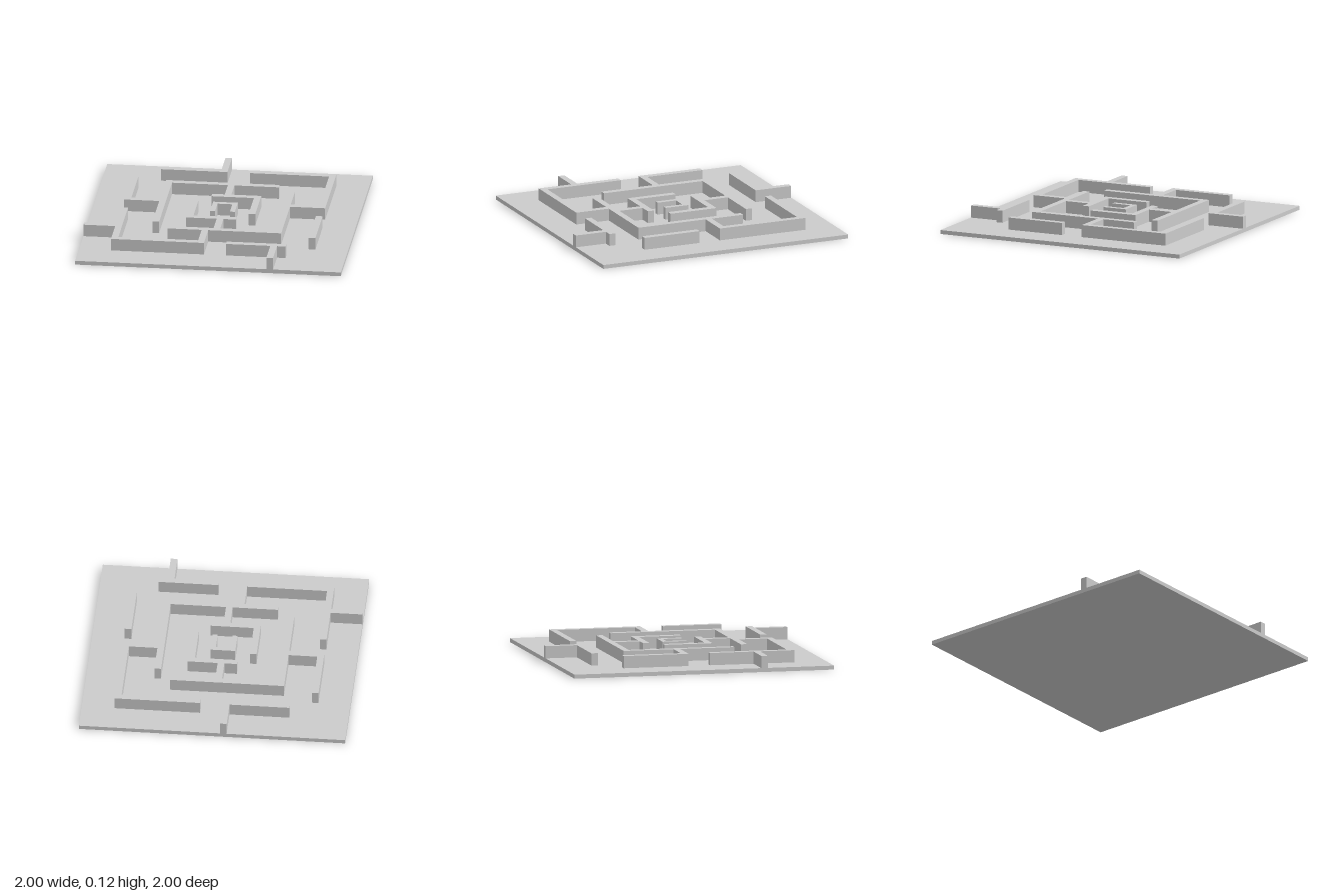
import * as THREE from 'three';

const BASE = 0.03, TOP = 0.122;

// Each wall run is a list of abutting rectangles: [x0, z0, x1, z1]
const WALLS = {
  backTeeWall: [
    [-0.56, -0.76, -0.06, -0.71], [-0.11, -1, -0.06, -0.76],
  ],
  outerRightWall: [
    [0.11, -0.76, 0.755, -0.71], [0.705, -0.71, 0.755, -0.06], [0.49, -0.11, 0.705, -0.06],
  ],
  middleFrontWall: [
    [0.44, -0.365, 0.49, 0.49], [-0.365, 0.44, 0.44, 0.49], [-0.025, 0.25, 0.025, 0.44],
  ],
  innerFrontWall: [
    [-0.255, 0.2, 0.12, 0.25], [-0.255, -0.12, -0.205, 0.2],
  ],
  outerFrontWall: [
    [-0.11, 0.49, -0.06, 0.705], [-0.76, 0.705, -0.06, 0.755],
    [-0.76, 0.105, -0.71, 0.705], [-1, 0.44, -0.76, 0.49],
  ],
  middleBackWall: [
    [-0.495, -0.495, 0.36, -0.445], [-0.495, -0.445, -0.445, 0.36], [-0.025, -0.445, 0.025, -0.255],
  ],
  outerLeftWall: [
    [-0.71, -0.11, -0.495, -0.06], [-0.76, -0.56, -0.71, -0.06],
  ],
  innerBackWall: [
    [-0.12, -0.255, 0.25, -0.205], [0.2, -0.205, 0.25, 0.12],
  ],
  centreNook: [
    [-0.093, -0.095, 0.093, -0.058], [-0.093, -0.058, -0.056, 0.093], [0.056, -0.058, 0.093, 0.093],
  ],
  sideWall: [[0.705, 0.105, 0.755, 0.555]],
  frontTeeWall: [
    [0.105, 0.705, 0.555, 0.755], [0.44, 0.755, 0.49, 1],
  ],
};

export function createModel() {
  const model = new THREE.Group();
  model.name = 'maze';
  const material = new THREE.MeshStandardMaterial({ color: 0xcccccc });

  const addBlock = (parent, name, [x0, z0, x1, z1], y0, y1) => {
    const mesh = new THREE.Mesh(new THREE.BoxGeometry(x1 - x0, y1 - y0, z1 - z0), material);
    mesh.position.set((x0 + x1) / 2, (y0 + y1) / 2, (z0 + z1) / 2);
    mesh.name = name;
    parent.add(mesh);
  };

  // Square floor slab
  addBlock(model, 'floor', [-1, -1, 1, 1], 0, BASE);

  // Walls standing on the floor
  for (const [name, segments] of Object.entries(WALLS)) {
    const wall = new THREE.Group();
    wall.name = name;
    segments.forEach((rect, i) => addBlock(wall, `${name}Segment${i + 1}`, rect, BASE, TOP));
    model.add(wall);
  }
  return model;
}
